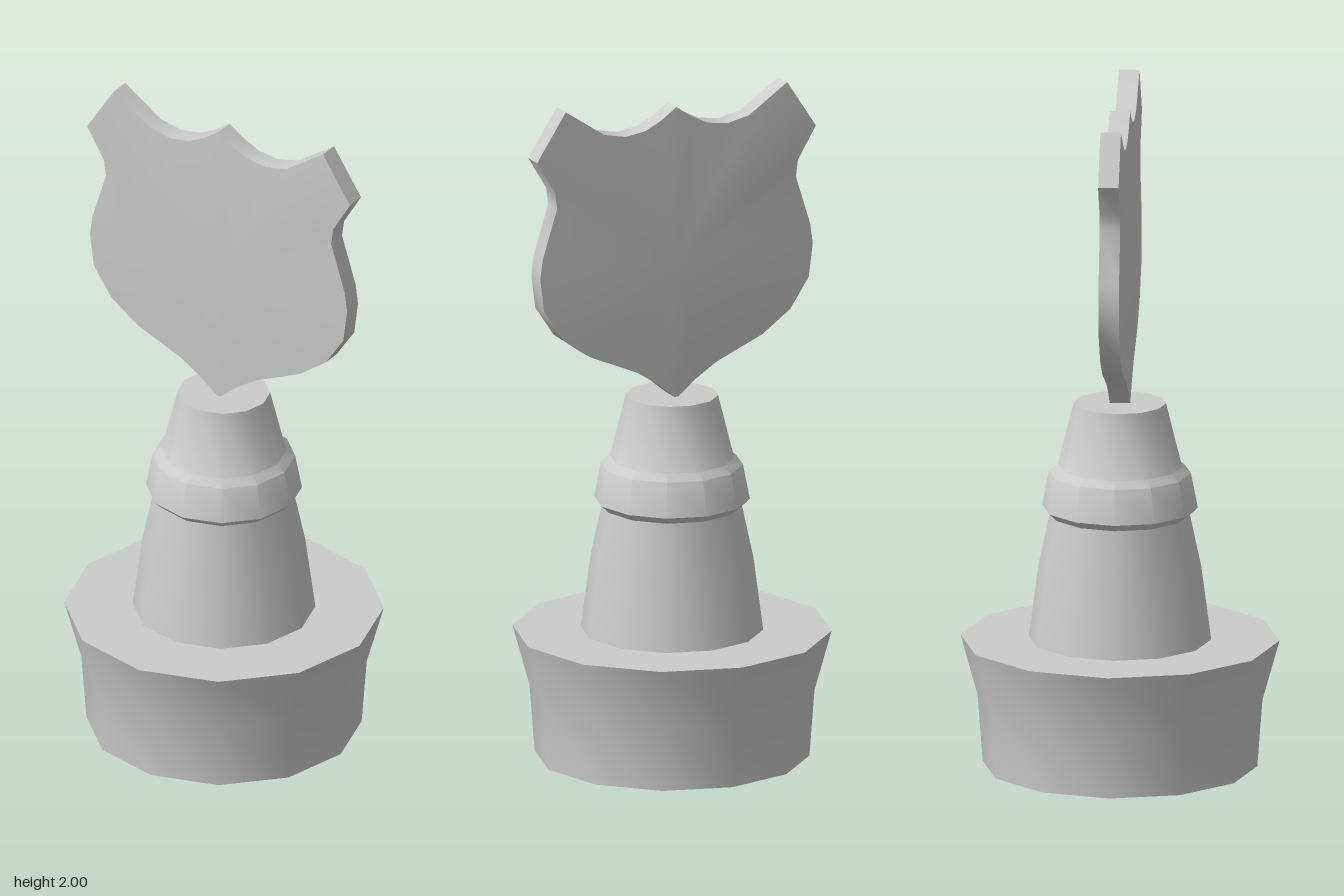
import * as THREE from 'three';
import { toCreasedNormals } from 'three/addons/utils/BufferGeometryUtils.js';

const material = new THREE.MeshStandardMaterial({ color: 0xcccccc });

function addPart(group, name, geometry, crease = 0.6) {
  const mesh = new THREE.Mesh(toCreasedNormals(geometry, crease), material);
  mesh.name = name;
  group.add(mesh);
}

// Twelve-sided turned part from [radius, height] pairs, bottom to top
function turned(profile) {
  return new THREE.LatheGeometry(profile.map(([r, y]) => new THREE.Vector2(r, y)), 12);
}

// Shield plate: loops of the outline shrunk toward the centre, slightly domed on both faces
function shieldGeometry() {
  const cy = 1.5;
  const half = [
    [0, 1.97], [0.05, 1.935], [0.1, 1.91], [0.165, 1.9], [0.235, 1.915], [0.36, 2],
    [0.453, 1.857], [0.395, 1.76], [0.388, 1.71], [0.435, 1.56], [0.443, 1.5],
    [0.43, 1.4], [0.37, 1.31], [0.28, 1.245], [0.13, 1.18], [0.06, 1.135], [0, 1.085],
  ];
  const left = half.slice(1, -1).reverse().map(([x, y]) => [-x, y]);
  const outline = [...half, ...left].reverse(); // counter-clockwise from the front
  const loops = [[0, -0.037], [0.55, -0.036], [1, -0.03], [1, 0.03], [0.55, 0.036], [0, 0.037]];
  const n = outline.length;
  const positions = [];
  const index = [];
  loops.forEach(([k, z], i) => {
    outline.forEach(([x, y], j) => {
      positions.push(x * k, cy + (y - cy) * k, z);
      if (i === loops.length - 1) return;
      const a = i * n + j, b = i * n + (j + 1) % n;
      if (k > 0) index.push(a, b, b + n);
      if (loops[i + 1][0] > 0) index.push(a, b + n, a + n);
    });
  });
  const geometry = new THREE.BufferGeometry();
  geometry.setAttribute('position', new THREE.Float32BufferAttribute(positions, 3));
  geometry.setIndex(index);
  return geometry;
}

export function createModel() {
  const group = new THREE.Group();
  group.name = 'shieldTrophy';

  // Flared plinth
  addPart(group, 'base', turned([[0, 0], [0.402, 0], [0.417, 0.2], [0.467, 0.38], [0, 0.38]]));

  // Tapered column with a raised collar
  addPart(group, 'column', turned([
    [0.267, 0.38], [0.238, 0.6], [0.205, 0.755], [0.228, 0.777],
    [0.208, 0.88], [0.182, 0.9], [0.135, 1.09], [0, 1.09],
  ]), 0.75);

  // Upright plate standing on its point
  addPart(group, 'shield', shieldGeometry());

  return group;
}
